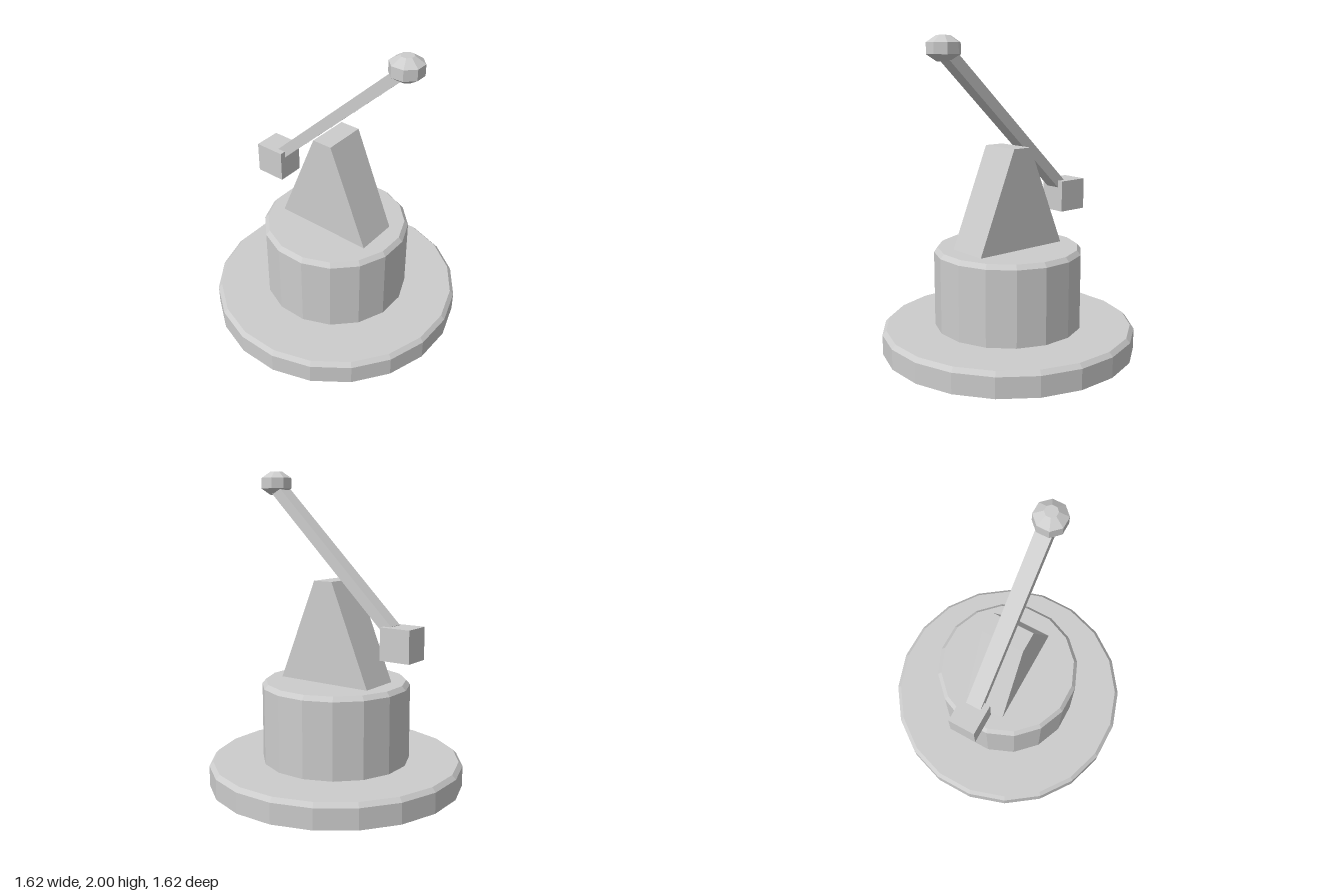
import * as THREE from 'three';

export function createModel() {
  const model = new THREE.Group();
  const grey = new THREE.MeshStandardMaterial({ color: 0xcccccc, flatShading: true });
  grey.name = 'light grey';

  const add = (name, geometry, x = 0, y = 0, z = 0) => {
    const mesh = new THREE.Mesh(geometry, grey);
    mesh.name = name;
    mesh.position.set(x, y, z);
    model.add(mesh);
    return mesh;
  };

  // Faceted turned solid with a flat side facing front
  const turned = (profile, sides) => new THREE.LatheGeometry(
    profile.map(([r, y]) => new THREE.Vector2(r, y)), sides, Math.PI / sides);

  // Round base plate and column, both with bevelled top rims
  add('basePlate', turned([[0, 0], [0.822, 0], [0.822, 0.13], [0.797, 0.157], [0, 0.157]], 20));
  add('column', turned([[0, 0.15], [0.478, 0.15], [0.478, 0.643], [0.453, 0.672], [0, 0.672]], 16));

  // Tapered support block
  const outline = new THREE.Shape([
    new THREE.Vector2(-0.336, 0.665), new THREE.Vector2(0.336, 0.665),
    new THREE.Vector2(0.067, 1.318), new THREE.Vector2(-0.067, 1.318),
  ]);
  add('support', new THREE.ExtrudeGeometry(outline, { depth: 0.28, bevelEnabled: false }), 0, 0, -0.14);

  // Slanted lever arm
  const start = new THREE.Vector2(-0.42, 1.037);
  const end = new THREE.Vector2(0.465, 1.892);
  const span = end.clone().sub(start);
  const middle = start.clone().add(end).multiplyScalar(0.5);
  const arm = add('leverArm', new THREE.BoxGeometry(span.length(), 0.071, 0.102), middle.x, middle.y, 0);
  arm.rotation.z = span.angle();

  // Counterweight and faceted knob at the ends of the arm
  add('counterweight', new THREE.BoxGeometry(0.204, 0.204, 0.18), -0.493, 0.958, 0);
  add('knob', turned([[0, -0.075], [0.041, -0.075], [0.103, -0.034], [0.103, 0.034],
    [0.041, 0.075], [0, 0.075]], 8), 0.486, 1.925, 0);

  return model;
}
